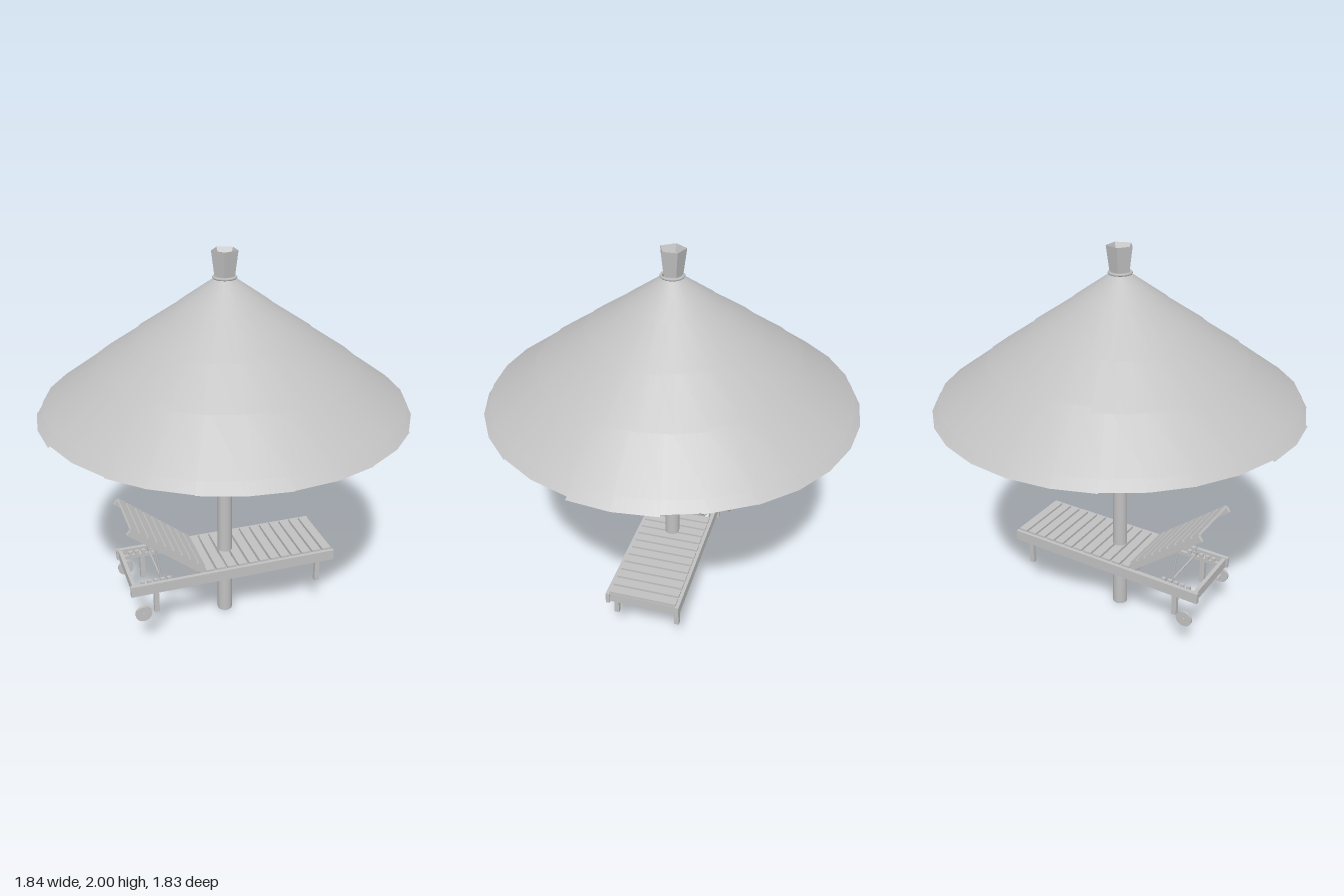
import * as THREE from 'three';

const grey = new THREE.MeshStandardMaterial({ color: 0xc0c0c0 });
grey.name = 'plain grey';
const greySheet = new THREE.MeshStandardMaterial({ color: 0xc0c0c0, side: THREE.DoubleSide });
greySheet.name = 'plain grey sheet';

const v2 = (x, y) => new THREE.Vector2(x, y);
const v3 = (x, y, z) => new THREE.Vector3(x, y, z);

function add(parent, name, geometry, material = grey) {
  const mesh = new THREE.Mesh(geometry, material);
  mesh.name = name;
  parent.add(mesh);
  return mesh;
}

function box(parent, name, w, h, d, x, y, z) {
  const mesh = add(parent, name, new THREE.BoxGeometry(w, h, d));
  mesh.position.set(x, y, z);
  return mesh;
}

// Round bar between two points
function rod(parent, name, a, b, r) {
  const mesh = add(parent, name, new THREE.CylinderGeometry(r, r, a.distanceTo(b), 8));
  mesh.position.copy(a).add(b).multiplyScalar(0.5);
  mesh.quaternion.setFromUnitVectors(v3(0, 1, 0), b.clone().sub(a).normalize());
}

function hoop(parent, name, radius, thickness, y) {
  const mesh = add(parent, name, new THREE.TorusGeometry(radius, thickness, 6, 32));
  mesh.rotation.x = Math.PI / 2;
  mesh.position.y = y;
}

function seeded(seed) {
  let s = seed;
  return () => (s = (s * 16807) % 2147483647) / 2147483647;
}

// One ring of thatch made of panels that reach unevenly far down the slope
function thatchTier(parent, name, top, low, panels, ragged, seed) {
  const tier = new THREE.Group();
  tier.name = name;
  const random = seeded(seed);
  const slope = low.clone().sub(top).normalize();
  const arc = (Math.PI * 2) / panels;
  const start = random() * arc;
  for (let i = 0; i < panels; i++) {
    const end = low.clone().addScaledVector(slope, (random() - 0.5) * ragged);
    add(tier, 'thatchPanel',
      new THREE.LatheGeometry([end, top], Math.round(28 / panels), start + i * arc, arc), greySheet);
  }
  parent.add(tier);
}

function buildParasol() {
  const parasol = new THREE.Group();
  parasol.name = 'parasol';
  const pole = add(parasol, 'pole', new THREE.CylinderGeometry(0.033, 0.04, 1.8, 16));
  pole.position.y = 0.9;
  const hub = add(parasol, 'hub', new THREE.CylinderGeometry(0.045, 0.045, 0.05, 16));
  hub.position.y = 1.735;

  // Thatch from the eaves up
  thatchTier(parasol, 'eaveThatch', v2(0.6, 1.465), v2(0.917, 1.225), 14, 0.02, 11);
  thatchTier(parasol, 'lowerThatch', v2(0.6, 1.482), v2(0.888, 1.276), 14, 0.004, 23);
  thatchTier(parasol, 'middleThatch', v2(0.37, 1.642), v2(0.64, 1.46), 9, 0.05, 37);
  thatchTier(parasol, 'upperThatch', v2(0.17, 1.78), v2(0.42, 1.614), 7, 0.05, 41);
  thatchTier(parasol, 'crownThatch', v2(0.045, 1.872), v2(0.228, 1.745), 5, 0.03, 59);

  // Flared five-sided tuft with a funnel inside, bound with a cord
  const tuft = [v2(0.05, 1.86), v2(0.05, 1.88), v2(0.066, 2), v2(0.02, 1.9)];
  add(parasol, 'tuft', new THREE.LatheGeometry(tuft, 5, -Math.PI / 2).toNonIndexed(), greySheet)
    .geometry.computeVertexNormals();
  hoop(parasol, 'tuftCord', 0.052, 0.007, 1.873);

  // Rafters, hoops and the inner band hung from the rafters
  for (let i = 0; i < 8; i++) {
    const a = THREE.MathUtils.degToRad(33 + i * 45);
    const at = (r, y) => v3(Math.cos(a) * r, y, Math.sin(a) * r);
    rod(parasol, 'rafter', at(0.02, 1.74), at(0.8, 1.305), 0.01);
  }
  hoop(parasol, 'outerHoop', 0.74, 0.008, 1.353);
  hoop(parasol, 'innerHoop', 0.7, 0.008, 1.38);
  add(parasol, 'innerBand', new THREE.LatheGeometry(
    [v2(0.63, 1.24), v2(0.58, 1.37)], 8, THREE.MathUtils.degToRad(12)), greySheet);
  return parasol;
}

function buildLounger() {
  const lounger = new THREE.Group();
  lounger.name = 'lounger';

  // Frame
  for (const s of [-1, 1]) {
    box(lounger, 'sideRail', 1.12, 0.058, 0.02, 0, 0.345, s * 0.18);
    box(lounger, 'slatSupport', 0.72, 0.02, 0.015, 0.18, 0.358, s * 0.162);
    box(lounger, 'endBoard', 0.02, 0.05, 0.34, s * 0.54, 0.345, 0);
    for (const x of [-0.425, 0.475]) box(lounger, 'leg', 0.026, 0.165, 0.024, x, 0.268, s * 0.161);
    const wheel = add(lounger, 'wheel', new THREE.CylinderGeometry(0.043, 0.043, 0.014, 20));
    wheel.rotation.x = Math.PI / 2;
    wheel.position.set(-0.507, 0.225, s * 0.217);
    rod(lounger, 'wheelStub', v3(-0.507, 0.225, s * 0.165), v3(-0.507, 0.225, s * 0.23), 0.008);
    // Notched strip that catches the prop
    box(lounger, 'notchStrip', 0.36, 0.02, 0.015, -0.35, 0.34, s * 0.145);
    for (let i = 0; i < 5; i++) {
      box(lounger, 'notchTooth', 0.02, 0.022, 0.015, -0.49 + i * 0.035, 0.36, s * 0.145);
    }
    rod(lounger, 'propArm', v3(-0.415, 0.56, s * 0.13), v3(-0.39, 0.365, s * 0.13), 0.005);
  }
  rod(lounger, 'propBar', v3(-0.39, 0.365, -0.15), v3(-0.39, 0.365, 0.15), 0.005);
  box(lounger, 'hingeBeam', 0.025, 0.03, 0.34, -0.17, 0.35, 0);

  // Seat slats
  for (let i = 0; i < 12; i++) {
    box(lounger, 'seatSlat', 0.048, 0.014, 0.345, -0.135 + i * 0.06, 0.378, 0);
  }

  // Tilted backrest, running along its own -x from the hinge
  const back = new THREE.Group();
  back.name = 'backrest';
  back.position.set(-0.165, 0.375, 0);
  back.rotation.z = -Math.atan2(0.31, 0.385);
  for (const s of [-1, 1]) box(back, 'backRail', 0.495, 0.032, 0.018, -0.247, 0, s * 0.157);
  for (let i = 0; i < 9; i++) {
    box(back, 'backSlat', 0.043, 0.012, 0.312, -0.032 - i * 0.0553, 0.02, 0);
  }
  lounger.add(back);
  return lounger;
}

export function createModel() {
  const model = new THREE.Group();
  model.name = 'beachParasolAndLounger';
  model.add(buildParasol(), buildLounger());
  return model;
}
